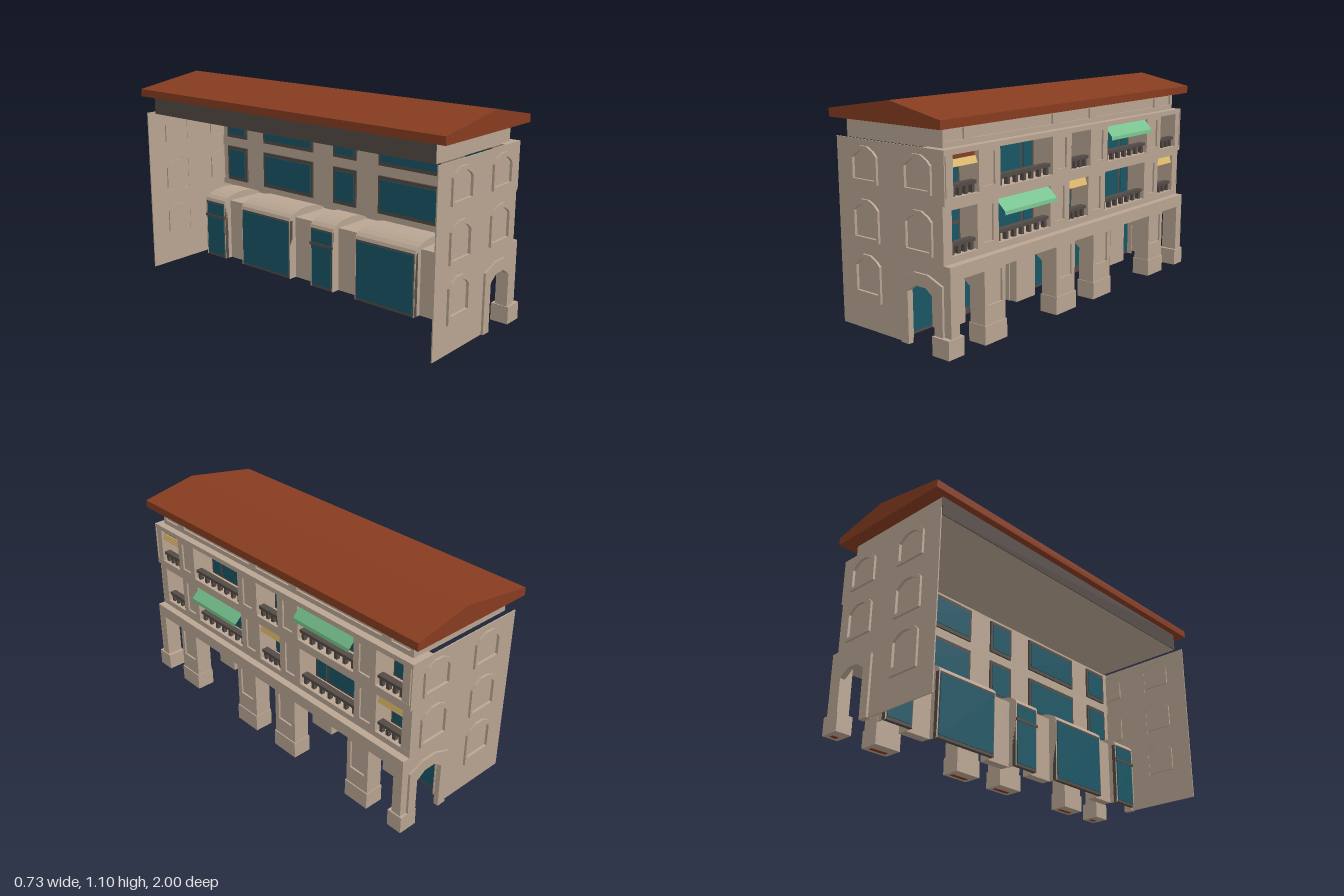
import * as THREE from 'three';

const paint = (name, color, extra = {}) => {
  const m = new THREE.MeshStandardMaterial({ color, ...extra });
  m.name = name;
  return m;
};

export function createModel() {
  const stone = paint('stone', 0xb9a592);
  const tile = paint('roof tile', 0x873c20);
  const glass = paint('glass', 0x195665);
  const dark = paint('dark frame', 0x544b46);
  const green = paint('green awning', 0x76c28d, { side: THREE.DoubleSide });
  const yellow = paint('yellow blind', 0xe2bc6d);

  const model = new THREE.Group();
  model.name = 'arcadeBuilding';
  const add = (name, geometry, material) => {
    const mesh = new THREE.Mesh(geometry, material);
    mesh.name = name;
    model.add(mesh);
  };
  // box given by its limits on each axis
  const box = (name, mat, x0, x1, y0, y1, z0, z1) => {
    const g = new THREE.BoxGeometry(x1 - x0, y1 - y0, z1 - z0);
    add(name, g.translate((x0 + x1) / 2, (y0 + y1) / 2, (z0 + z1) / 2), mat);
  };
  const toShape = (pts) => new THREE.Shape(pts.map(([x, y]) => new THREE.Vector2(x, y)));
  // outline in x,y extruded between two z positions
  const alongZ = (name, mat, shape, za, zb) => {
    const g = new THREE.ExtrudeGeometry(shape, { depth: Math.abs(zb - za), bevelEnabled: false });
    add(name, g.translate(0, 0, Math.min(za, zb)), mat);
  };
  const rect = (z0, z1, y0, y1) => [[-z1, y0], [-z0, y0], [-z0, y1], [-z1, y1]];
  // facade sheet facing +x with rectangular recesses
  const skin = (name, x0, x1, outer, holes) => {
    const s = toShape(rect(...outer));
    holes.forEach((h) => s.holes.push(toShape(rect(...h))));
    const g = new THREE.ExtrudeGeometry(s, { depth: x1 - x0, bevelEnabled: false });
    add(name, g.rotateY(Math.PI / 2).translate(x0, 0, 0), stone);
  };

  // Roof and frieze
  alongZ('roof', tile, toShape([[-0.365, 1], [0.348, 1], [0.348, 1.04], [0.04, 1.102], [-0.365, 1.04]]), -1, 1);
  box('frieze', stone, -0.326, 0.28, 0.905, 1, -0.93, 0.93);
  box('friezeBack', dark, -0.33, -0.326, 0.905, 1, -0.93, 0.93);
  skin('friezePanels', 0.28, 0.29, [-0.93, 0.93, 0.91, 1], [
    [0.80, 0.91, 0.935, 0.985], [0.18, 0.74, 0.935, 0.985], [-0.125, 0.125, 0.935, 0.985],
    [-0.74, -0.18, 0.935, 0.985], [-0.91, -0.80, 0.935, 0.985]]);

  // End walls with archway and blind arched windows
  const windowOutline = (cx, w, y0, y1) => {
    const h = w / 2, d = w * 0.24;
    return [[cx - h, y0], [cx + h, y0], [cx + h, y1 - d], [cx + h * 0.75, y1 - d * 0.5], [cx + h * 0.3, y1],
      [cx - h * 0.3, y1], [cx - h * 0.75, y1 - d * 0.5], [cx - h, y1 - d]];
  };
  const endWindows = [[-0.17, 0.71, 0.88], [0.17, 0.71, 0.88], [-0.17, 0.44, 0.635], [0.17, 0.44, 0.635], [-0.17, 0.155, 0.375]];
  const arch = [[0.10, 0.01], [0.10, 0.26], [0.15, 0.295], [0.215, 0.295], [0.265, 0.26], [0.265, 0.01]];
  for (const s of [1, -1]) {
    const wall = toShape([[-0.36, 0.01], ...arch, [0.355, 0.01], [0.355, 0.41], [0.317, 0.41],
      [0.317, 0.67], [0.329, 0.67], [0.329, 0.91], [-0.36, 0.91]]);
    for (const [cx, y0, y1] of endWindows) {
      const outer = windowOutline(cx, 0.175, y0, y1);
      const inner = windowOutline(cx, 0.145, y0 + (y0 < 0.2 ? 0.04 : 0.017), y1 - 0.022);
      wall.holes.push(toShape(outer));
      const ring = toShape(outer);
      ring.holes.push(toShape(inner));
      alongZ('endWindowFrame', stone, ring, s * 0.961, s * 0.977);
      alongZ('endWindowPanel', stone, toShape(inner), s * 0.953, s * 0.963);
    }
    alongZ('endWall', stone, wall, s * 0.959, s * 0.965);
    alongZ('archSurround', stone, toShape([[0.05, 0.01], ...arch, [0.315, 0.01], [0.315, 0.32],
      [0.225, 0.355], [0.14, 0.355], [0.05, 0.32]]), s * 0.95, s * 0.977);
  }

  // Piers: arched cross walls below, solid piers above, each with recessed panels
  const base = (z0, z1) => {
    box('pierBase', stone, 0.26, 0.361, 0, 0.09, z0, z1);
    box('baseUnderside', tile, 0.315, 0.34, -0.001, 0.001, z0 + 0.025, z1 - 0.025);
  };
  for (const [z0, z1] of [[0.61, 0.75], [0.08, 0.23], [-0.23, -0.08], [-0.75, -0.61]]) {
    const c = (z0 + z1) / 2;
    alongZ('arcadeCrossArch', stone, toShape([[0.05, 0.01], ...arch, [0.345, 0.01], [0.345, 0.36], [0.05, 0.36]]), z0, z1);
    skin('groundPier', 0.345, 0.355, [z0, z1, 0.01, 0.345], [[c - 0.048, c + 0.048, 0.18, 0.335]]);
    base(z0 - 0.004, z1 + 0.004);
    for (const [front, y0, y1, p0, p1] of [[0.317, 0.44, 0.645, 0.46, 0.63], [0.329, 0.70, 0.885, 0.72, 0.87]]) {
      box('upperPier', stone, 0.2, front - 0.01, y0, y1, z0, z1);
      skin('upperPierPanel', front - 0.01, front, [z0, z1, y0, y1], [[c - 0.035, c + 0.035, p0, p1]]);
    }
  }
  for (const s of [1, -1]) {
    const [z0, z1] = s > 0 ? [0.91, 0.961] : [-0.961, -0.91];
    const [u0, u1] = s > 0 ? [0.91, 0.952] : [-0.952, -0.91];
    box('cornerPier', stone, 0.266, 0.354, 0.01, 0.4, z0, z1);
    box('cornerPierUpper', stone, 0.2, 0.316, 0.41, 0.67, u0, u1);
    box('cornerPierTop', stone, 0.2, 0.328, 0.67, 0.91, u0, u1);
    // short return closing the corner against the end wall
    box('cornerEdge', stone, 0.29, 0.316, 0.41, 0.905, z0, z1);
    base(s > 0 ? 0.892 : -0.977, s > 0 ? 0.988 : -0.892);
  }
  // Floor bands
  box('arcadeBeam', stone, 0.29, 0.355, 0.345, 0.41, -0.96, 0.96);
  box('firstFloorSlab', stone, 0.2, 0.317, 0.405, 0.44, -0.96, 0.96);
  box('secondFloorSlabLower', stone, 0.2, 0.317, 0.645, 0.67, -0.96, 0.96);
  box('secondFloorSlabUpper', stone, 0.2, 0.329, 0.67, 0.70, -0.96, 0.96);
  box('topSlab', stone, 0.2, 0.329, 0.885, 0.91, -0.96, 0.96);

  // Bays
  const bays = [[0.75, 0.91], [0.23, 0.61], [-0.08, 0.08], [-0.61, -0.23], [-0.91, -0.75]];
  const vault = new THREE.EllipseCurve(0.15, 0.345, 0.15, 0.055, 0, Math.PI).getPoints(10);
  // panes are given as distances from the +z edge of the bay
  const panes = (x, z1, list) => list.forEach(([a, b, y0, y1]) =>
    box('pane', glass, x - 0.001, x + 0.005, y0, y1, z1 - b, z1 - a));

  bays.forEach(([z0, z1]) => {
    const w = z1 - z0, large = w > 0.3;
    // Arcade ceiling with rounded top, shop front and its side cheeks
    alongZ('arcadeCeiling', stone, new THREE.Shape(vault), z0, z1);
    box('shopFrame', dark, 0.004, 0.025, 0.01, 0.345, z0, z1);
    box('shopBackGlass', glass, 0, 0.005, 0.025, 0.335, z0 + 0.012, z1 - 0.012);
    if (!large) box('doorBackRail', dark, -0.004, 0.004, 0.25, 0.265, z0, z1);
    for (const z of [z0, z1 - 0.006]) box('bayCheek', stone, 0.002, 0.055, 0.01, 0.345, z, z + 0.006);
    panes(0.025, z1, large
      ? [[0.03, 0.23, 0.05, 0.28], [0.25, 0.35, 0.165, 0.28], [0.25, 0.35, 0.05, 0.145]]
      : [[0.013, 0.147, 0.025, 0.25], [0.013, 0.147, 0.268, 0.325]]);

    // Upper windows and balustrades
    for (const [front, y0, y1] of [[0.317, 0.44, 0.645], [0.329, 0.70, 0.885]]) {
      box('windowFrame', dark, 0.19, 0.21, y0, y1, z0, z1);
      box('windowBackGlass', glass, 0.186, 0.19, y0 + 0.02, y1 - 0.02, z0 + 0.015, z1 - 0.015);
      panes(0.21, z1, large
        ? [[0.018, 0.08, y0 + 0.015, y1 - 0.02], [0.103, 0.275, y0 + 0.015, y1 - 0.02], [0.298, 0.362, y0 + 0.015, y1 - 0.02]]
        : [[0.012, 0.083, y0 + 0.015, y1 - 0.015], [0.1, 0.148, y0 + 0.125, y1 - 0.015], [0.1, 0.148, y0 + 0.015, y0 + 0.105]]);
      const rail = y0 + 0.055, n = large ? 7 : 4;
      box('balconyRail', dark, front - 0.045, front - 0.01, rail - 0.016, rail, z0 + 0.005, z1 - 0.005);
      for (let k = 0; k < n; k++) {
        const z = z0 + 0.02 + (w - 0.04) * k / (n - 1);
        box('baluster', dark, front - 0.037, front - 0.017, y0, rail - 0.015, z - 0.009, z + 0.009);
      }
    }
  });

  // Green awnings: a sloping sheet ending in a short hanging valance
  for (const [z, y, x] of [[0.42, 0.642, 0.3], [-0.42, 0.882, 0.31]]) {
    const profile = [[x, y], [0.355, y - 0.05], [0.357, y - 0.068]];
    const sheet = new THREE.PlaneGeometry(0.38, 1, 1, 2).rotateY(Math.PI / 2);
    const p = sheet.attributes.position;
    for (let i = 0; i < p.count; i++) {
      const [px, py] = profile[Math.floor(i / 2)];
      p.setXYZ(i, px, py, p.getZ(i) + z);
    }
    const awning = sheet.toNonIndexed();
    awning.computeVertexNormals();
    add('awning', awning, green);
  }
  // Yellow roller blinds
  for (const [z0, z1, y0, y1, x] of [[0.75, 0.91, 0.83, 0.862, 0.318], [-0.08, 0.08, 0.602, 0.64, 0.306], [-0.91, -0.75, 0.602, 0.64, 0.306]]) {
    alongZ('blind', yellow, toShape([[x - 0.012, y1 - 0.002], [x, y0], [x + 0.005, y0], [x - 0.007, y1]]), z0 + 0.002, z1 - 0.002);
  }
  box('blindRoll', tile, 0.29, 0.305, 0.862, 0.884, 0.752, 0.908);

  return model;
}
